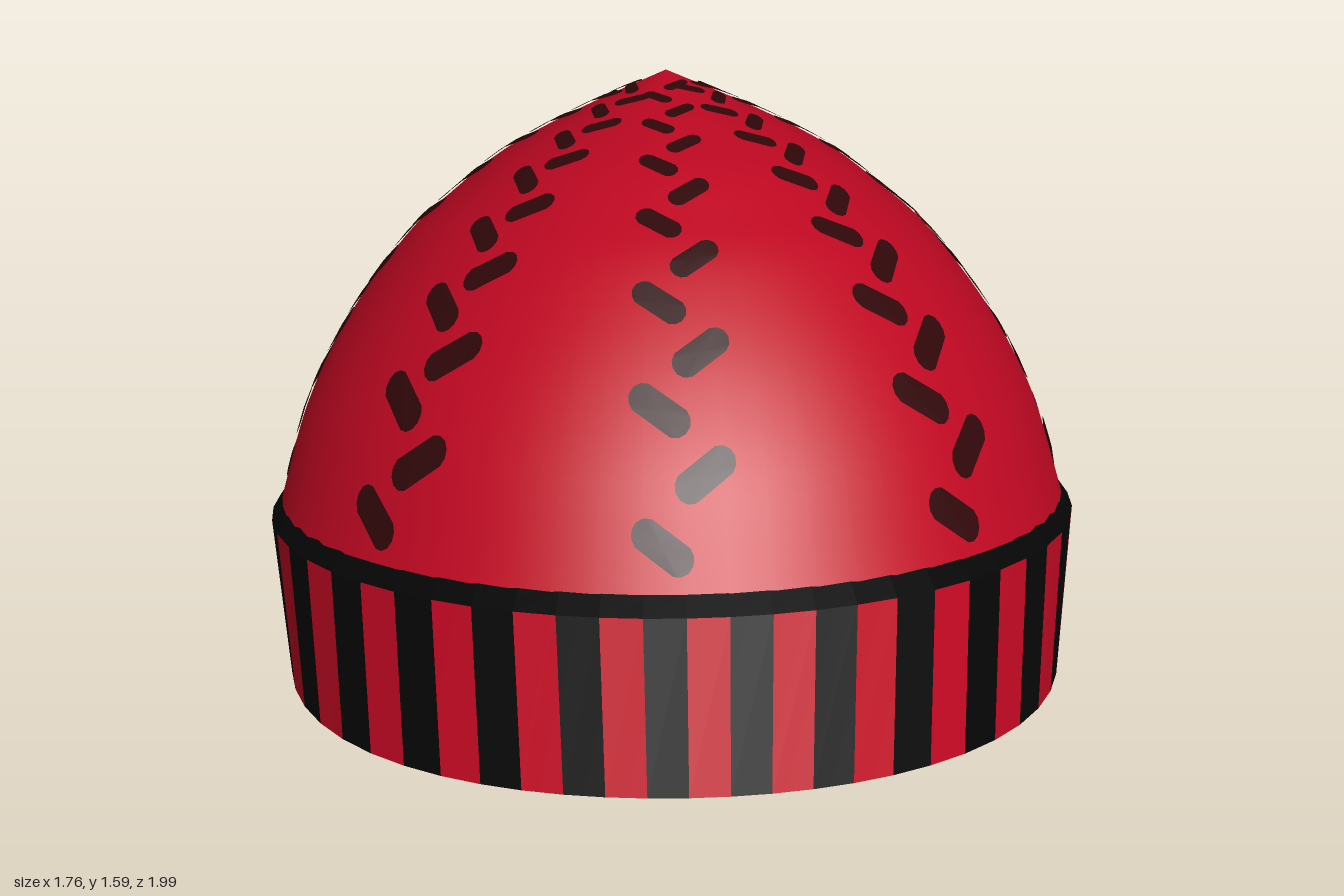
import * as THREE from 'three';

const TILT = 0.402, X_SCALE = 0.893, STRIPES = 58;

const mat = (name, color) => {
  const m = new THREE.MeshStandardMaterial({ color, side: THREE.DoubleSide });
  m.name = name;
  return m;
};

// Dome profile from the crown to the rim: radius, height
const profile = new THREE.SplineCurve([
  [0, 1.275], [0.22, 1.19], [0.4, 1.105], [0.53, 1.015], [0.62, 0.945],
  [0.73, 0.825], [0.82, 0.7], [0.895, 0.56], [0.96, 0.37],
].map(([r, y]) => new THREE.Vector2(r, y)));
const profileLength = profile.getLength();

// Point on the dome at an angle from the front and a distance from the crown
function domePoint(angle, distance, lateral, lift) {
  const k = THREE.MathUtils.clamp(distance / profileLength, 0.01, 0.99);
  const p = profile.getPointAt(k), t = profile.getTangentAt(k);
  const a = angle + lateral / Math.max(p.x, 0.05);
  const r = p.x - t.y * lift, y = p.y + t.x * lift;
  return [r * Math.sin(a) * X_SCALE, y, r * Math.cos(a)];
}

function surface(positions, indices) {
  const g = new THREE.BufferGeometry();
  g.setAttribute('position', new THREE.Float32BufferAttribute(positions, 3));
  g.setIndex(indices);
  g.computeVertexNormals();
  return g;
}

// Oval rings of the cuff; stripes are closer together at front and back
function ringPoint(i, ring) {
  const t = (i / STRIPES) * Math.PI * 2;
  const a = t - 0.08 * Math.sin(2 * t);
  const full = 1 + (ring.bulge || 0) * Math.sin(2 * a) ** 2;
  return [ring.rx * full * Math.sin(a), ring.y, ring.rz * full * Math.cos(a)];
}
const bottomRing = { rx: 0.85, rz: 1.02, y: 0, bulge: 0.02 };
const topRing = { rx: 0.88, rz: 1.0, y: 0.34 };
const innerRing = { rx: 0.855, rz: 0.957, y: 0.375 };

// Quads between two rings for every step-th segment
function ringStrip(low, high, start, step) {
  const pos = [], idx = [];
  for (let i = start; i < STRIPES; i += step) {
    const n = pos.length / 3;
    pos.push(...ringPoint(i, low), ...ringPoint(i + 1, low),
      ...ringPoint(i + 1, high), ...ringPoint(i, high));
    idx.push(n, n + 1, n + 2, n, n + 2, n + 3);
  }
  return surface(pos, idx);
}

// Rounded stitch marks in staggered V pairs along eight seams
const seams = [0, 0.74, 1.57, 2.36, 3.14, -2.36, -1.57, -0.74];
function stitches(lift) {
  const pos = [], idx = [], sides = 12;
  for (const angle of seams) {
    const sideways = Math.sin(angle) ** 2;
    let s = -1;
    let d = profileLength - 0.09;
    while (d > 0.08) {
      const size = (0.42 + 0.58 * Math.min(1, d)) * (1 + 0.2 * sideways);
      const dx = s * Math.sin(0.96), dy = Math.cos(0.96);
      const put = (along, across) => {
        const a = s * 0.046 * size + along * dx - across * dy;
        const up = along * dy + across * dx;
        pos.push(...domePoint(angle, d - up, a, lift));
      };
      const n = pos.length / 3;
      put(0, 0);
      for (let k = 0; k < sides; k++) {
        const t = ((k + 0.5) / sides) * Math.PI * 2;
        const end = Math.sign(Math.cos(t)) * 0.039;
        put((end + 0.033 * Math.cos(t)) * size, 0.033 * Math.sin(t) * size);
        idx.push(n, n + 1 + k, n + 1 + ((k + 1) % sides));
      }
      s = -s;
      d -= (0.05 + 0.065 * d) * (1 - 0.2 * sideways);
    }
  }
  return surface(pos, idx);
}

export function createModel() {
  const red = mat('red knit', 0xc00822);
  const black = mat('black knit', 0x060606);
  const thread = mat('dark stitching', 0x300709);

  const hat = new THREE.Group();
  hat.name = 'hat';
  const add = (name, geometry, material) => {
    const m = new THREE.Mesh(geometry, material);
    m.name = name;
    hat.add(m);
  };

  // Dome
  const dome = new THREE.LatheGeometry(profile.getSpacedPoints(32).reverse(), 64);
  dome.scale(X_SCALE, 1, 1);
  add('dome', dome, red);
  add('outerStitches', stitches(0.005), thread);
  add('innerStitches', stitches(-0.006), thread);

  // Striped cuff with a bevelled top edge
  add('redCuffStripes', ringStrip(bottomRing, topRing, 0, 2), red);
  add('blackCuffStripes', ringStrip(bottomRing, topRing, 1, 2), black);
  add('cuffTopEdge', ringStrip(topRing, innerRing, 0, 1), black);

  // Flat underside with the head opening
  const outline = [];
  for (let i = 0; i < STRIPES; i++) {
    const [x, , z] = ringPoint(i, bottomRing);
    outline.push(new THREE.Vector2(x, z));
  }
  const under = new THREE.Shape(outline);
  under.holes.push(new THREE.Path([
    [0.53, 0.69], [0.61, -0.33], [0.25, -0.74],
    [-0.25, -0.74], [-0.61, -0.33], [-0.53, 0.69],
  ].map(([x, y]) => new THREE.Vector2(x, y))));
  add('underside', new THREE.ShapeGeometry(under).rotateX(Math.PI / 2), black);

  // Tip the hat back
  hat.rotation.x = -TILT;
  hat.position.set(0, 0.4, 0.06);
  const model = new THREE.Group();
  model.name = 'knitHat';
  model.add(hat);
  return model;
}
